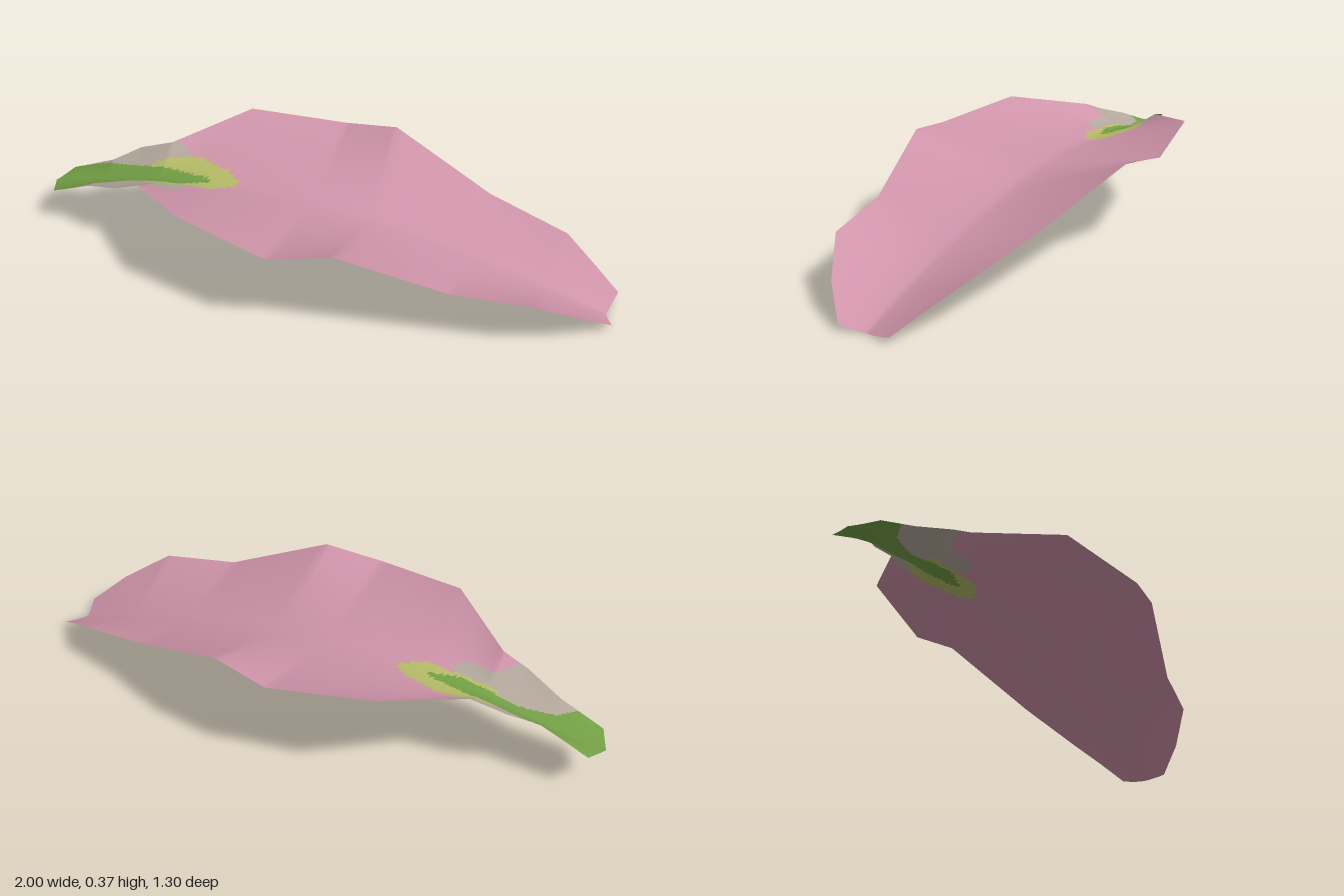
import * as THREE from 'three';

// Stations from stalk to tip: back edge, midrib, front edge as [x, y, z]
const stations = [
  [[-1, .155, .49], [-.99, .14, .585], [-.91, .155, .645]],
  [[-.84, .23, .40], [-.81, .18, .465], [-.76, .22, .57]],
  [[-.78, .275, .30], [-.69, .21, .395], [-.61, .27, .54]],
  [[-.68, .31, .215], [-.6, .23, .343], [-.52, .31, .495]],
  [[-.585, .375, -.12], [-.42, .255, .24], [-.18, .375, .555]],
  [[-.29, .34, -.37], [-.06, .255, .032], [.19, .34, .45]],
  [[-.09, .375, -.455], [.15, .23, -.09], [.37, .375, .30]],
  [[.33, .225, -.555], [.48, .155, -.28], [.65, .235, .02]],
  [[.64, .155, -.655], [.73, .08, -.424], [.88, .21, -.17]],
  [[.78, .09, -.652], [.85, .037, -.493], [.965, .115, -.34]],
  [[.9, .03, -.65], [.93, .005, -.54], [1, .03, -.48]],
];

// Colour patches around the stalk, as [x, z] outlines seen from above
const greenPatch = [[-1.1, .54], [-.84, .41], [-.6, .28], [-.45, .22], [-.42, .23], [-.5, .32],
  [-.7, .42], [-.8, .52], [-.85, .7], [-1.1, .7]];
const yellowPatch = [[-.69, .32], [-.63, .24], [-.56, .17], [-.42, .14], [-.32, .15], [-.34, .21],
  [-.39, .28], [-.46, .31], [-.62, .4]];
const greyPatch = [[-1.1, .4], [-.7, .19], [-.58, .19], [-.5, .28], [-.44, .33], [-.46, .39],
  [-.56, .43], [-.58, .5], [-.56, .7], [-1.1, .7]];

function inside(x, z, outline) {
  let hit = false;
  outline.forEach(([x1, z1], i) => {
    const [x2, z2] = outline[(i + 1) % outline.length];
    if ((z1 > z) !== (z2 > z) && x < x1 + (z - z1) * (x2 - x1) / (z2 - z1)) hit = !hit;
  });
  return hit;
}

const STEPS = 14;   // rows between two stations
const HALF = 18;    // columns from midrib to edge

function petalGeometry() {
  const column = (c) => stations.map((s) => new THREE.Vector3(...s[c]));
  const [back, mid, front] = [column(0), column(1), column(2)];
  const rib = new THREE.CatmullRomCurve3(mid, false, 'centripetal');
  const rows = (stations.length - 1) * STEPS;
  const cols = HALF * 2;
  const positions = [];

  // Straight-sided outline, smooth midrib, each half bowing upward to its edge
  for (let r = 0; r <= rows; r++) {
    const i = Math.min(Math.floor(r / STEPS), stations.length - 2);
    const f = r / STEPS - i;
    const m = rib.getPoint(r / rows);
    for (let c = -HALF; c <= HALF; c++) {
      const side = c < 0 ? back : front;
      const e = side[i].clone().lerp(side[i + 1], f);
      const t = Math.abs(c) / HALF;
      const p = m.clone().lerp(e, t);
      p.y = m.y + (e.y - m.y) * Math.pow(t, 1.35);
      positions.push(p.x, p.y, p.z);
    }
  }

  // Sort faces into one list per colour
  const lists = [[], [], [], []];
  const addFace = (...corners) => {
    let x = 0, z = 0;
    for (const k of corners) {
      x += positions[k * 3] / 3;
      z += positions[k * 3 + 2] / 3;
    }
    const patch = [greenPatch, yellowPatch, greyPatch].findIndex((o) => inside(x, z, o));
    lists[patch + 1].push(...corners);
  };
  for (let r = 0; r < rows; r++) {
    for (let c = 0; c < cols; c++) {
      const a = r * (cols + 1) + c;
      const b = a + cols + 1;
      addFace(a, a + 1, b);
      addFace(b, a + 1, b + 1);
    }
  }

  const geometry = new THREE.BufferGeometry();
  geometry.setAttribute('position', new THREE.Float32BufferAttribute(positions, 3));
  geometry.setIndex(lists.flat());
  let start = 0;
  lists.forEach((list, k) => {
    geometry.addGroup(start, list.length, k);
    start += list.length;
  });
  geometry.computeVertexNormals();
  return geometry;
}

export function createModel() {
  const paint = (name, color) => {
    const material = new THREE.MeshStandardMaterial({ color, side: THREE.DoubleSide });
    material.name = name;
    return material;
  };
  const materials = [
    paint('petalPink', 0xcf94a9),
    paint('stalkGreen', 0x739f45),
    paint('paleYellowGreen', 0xb6bc68),
    paint('greyBlend', 0xb3a89c),
  ];
  const petal = new THREE.Mesh(petalGeometry(), materials);
  petal.name = 'petal';
  const model = new THREE.Group();
  model.name = 'fallenPetal';
  model.add(petal);
  return model;
}
